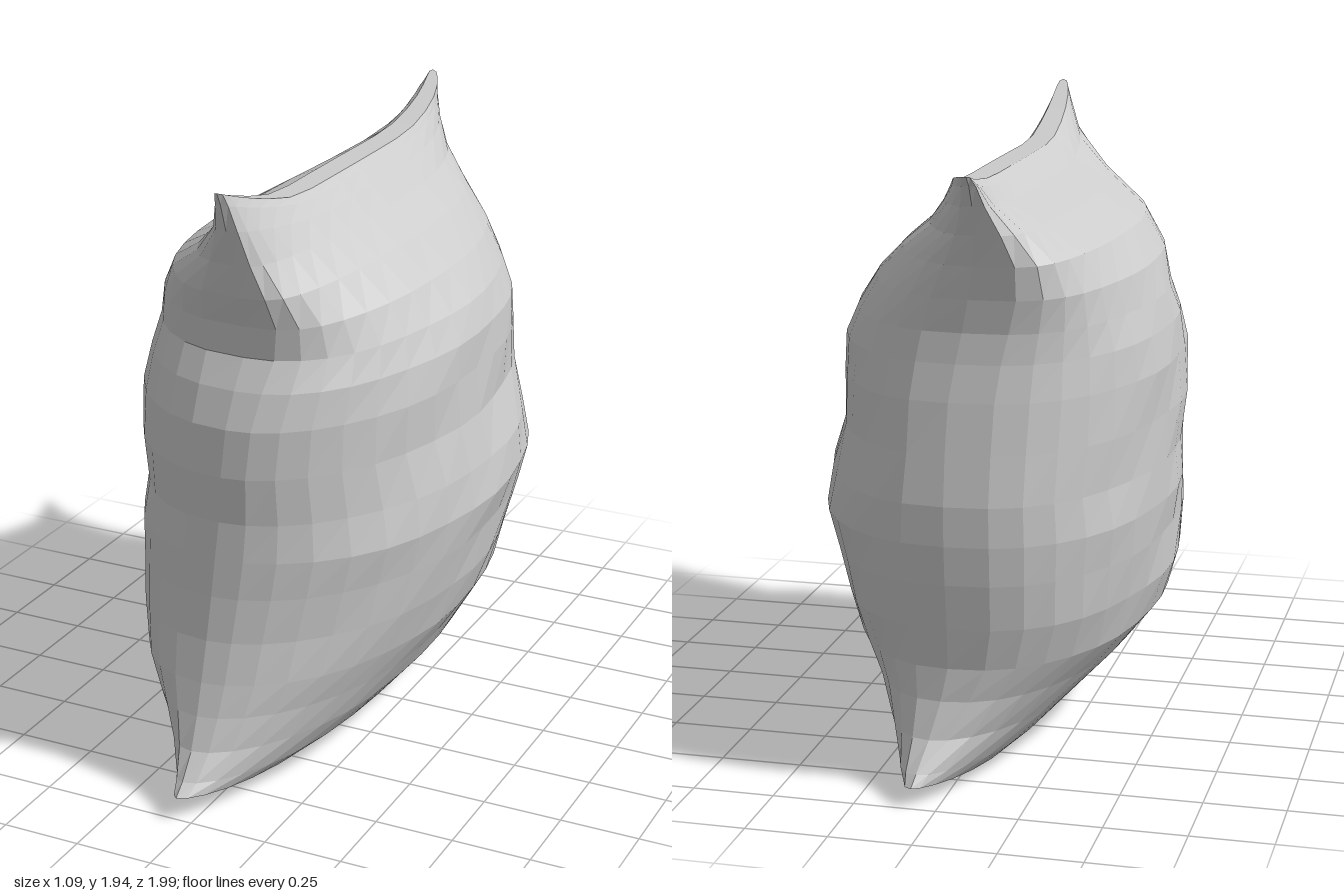
import * as THREE from 'three';

const { smoothstep, lerp } = THREE.MathUtils;

// Key cross-sections, bottom to top: [y, front z, back z, right half-width, left half-width]
const SECTIONS = [
  [0.025, 0.95, -0.95, 0.05, 0.07],
  [0.05, 1.00, -0.99, 0.12, 0.17],
  [0.10, 0.96, -0.96, 0.19, 0.24],
  [0.19, 0.90, -0.89, 0.30, 0.32],
  [0.29, 0.86, -0.85, 0.40, 0.38],
  [0.39, 0.83, -0.84, 0.48, 0.44],
  [0.52, 0.80, -0.86, 0.52, 0.48],
  [0.66, 0.78, -0.88, 0.53, 0.51],
  [0.78, 0.77, -0.89, 0.54, 0.54],
  [0.90, 0.76, -0.89, 0.53, 0.52],
  [1.05, 0.77, -0.87, 0.54, 0.48],
  [1.20, 0.76, -0.85, 0.54, 0.48],
  [1.31, 0.72, -0.83, 0.52, 0.47],
  [1.40, 0.67, -0.82, 0.49, 0.43],
  [1.50, 0.68, -0.83, 0.46, 0.36],
  [1.60, 0.72, -0.85, 0.39, 0.26],
  [1.68, 0.75, -0.88, 0.25, 0.16],
  [1.74, 0.79, -0.92, 0.12, 0.10],
  [1.78, 0.82, -0.96, 0.07, 0.06],
  [1.80, 0.84, -0.99, 0.04, 0.04],
];
const SEGMENTS = 36;

function sectionPoint([y, front, back, right, left], j) {
  const t = (j / SEGMENTS) * Math.PI * 2;
  const s = Math.cos(t), c = Math.sin(t);
  const z = (front + back) / 2 + ((front - back) / 2) * s;

  // Blunter at the back and in the gussets above, more pointed at the bottom
  const middle = s < 0 ? 0.8 : c > 0 ? 1.05 : 0.88;
  const lower = lerp(1.05, middle, smoothstep(y, 0.05, 0.5));
  const sharp = lerp(lower, 0.65, smoothstep(y, 1.2, 1.6));
  const side = Math.sign(c) * Math.pow(Math.abs(c), sharp) * (c > 0 ? left : right);

  // Corners swing sideways, in opposite directions front and back
  const swing = s > 0
    ? lerp(-0.05, 0.04, smoothstep(y, 0.3, 1.75))
    : 0.08 * (1 - smoothstep(y, 0, 0.45)) - 0.1 * smoothstep(y, 1.1, 1.8);

  // Corners pull upward near both seams, and the bottom sags towards the back
  const topPull = smoothstep(y, 1.55, 1.85) ** 2 * (s > 0 ? 0.17 : 0.09);
  const bottomPull = Math.max(0, 1 - y / 0.14) * (s > 0 ? 0.045 : 0.06);
  const rise = Math.pow(Math.max(0, (Math.abs(s) - 0.42) / 0.58), 1.3);
  const sag = 0.025 * smoothstep(-z, -0.1, 0.6) * (1 - smoothstep(y, 0.03, 0.3));

  // Shallow cloth wrinkles, fading towards the seams
  const fade = Math.min(1, y * 2, Math.max(0, (1.75 - y) * 2));
  const wrinkle = 0.008 * fade * Math.sin(y * 17 + z * 3) * Math.sin(z * 8 + y * 4) * c;
  return [side + s ** 4 * swing + wrinkle, y + rise * (topPull + bottomPull) - sag, z];
}

function cushionGeometry() {
  const positions = [], index = [];
  SECTIONS.forEach(row => {
    for (let j = 0; j < SEGMENTS; j++) positions.push(...sectionPoint(row, j));
  });
  const quad = (a, b, c, d) => index.push(a, b, c, a, c, d);

  // Padded sides
  for (let i = 0; i < SECTIONS.length - 1; i++) {
    for (let j = 0; j < SEGMENTS; j++) {
      const k = (j + 1) % SEGMENTS, lo = i * SEGMENTS, hi = lo + SEGMENTS;
      quad(lo + j, lo + k, hi + k, hi + j);
    }
  }
  // Narrow strips closing the bottom and top seams
  const top = (SECTIONS.length - 1) * SEGMENTS;
  for (let j = 0; j < SEGMENTS / 2; j++) {
    const c = SEGMENTS - j - 1, d = (SEGMENTS - j) % SEGMENTS;
    quad(top + j, top + j + 1, top + c, top + d);
    quad(d, c, j + 1, j);
  }
  const geometry = new THREE.BufferGeometry();
  geometry.setAttribute('position', new THREE.Float32BufferAttribute(positions, 3));
  geometry.setIndex(index);
  geometry.computeVertexNormals();
  return geometry;
}

export function createModel() {
  const group = new THREE.Group();
  group.name = 'pillow';
  const cloth = new THREE.MeshStandardMaterial({ color: 0xcccccc, flatShading: true });
  const cushion = new THREE.Mesh(cushionGeometry(), cloth);
  cushion.name = 'cushion';
  group.add(cushion);
  return group;
}
